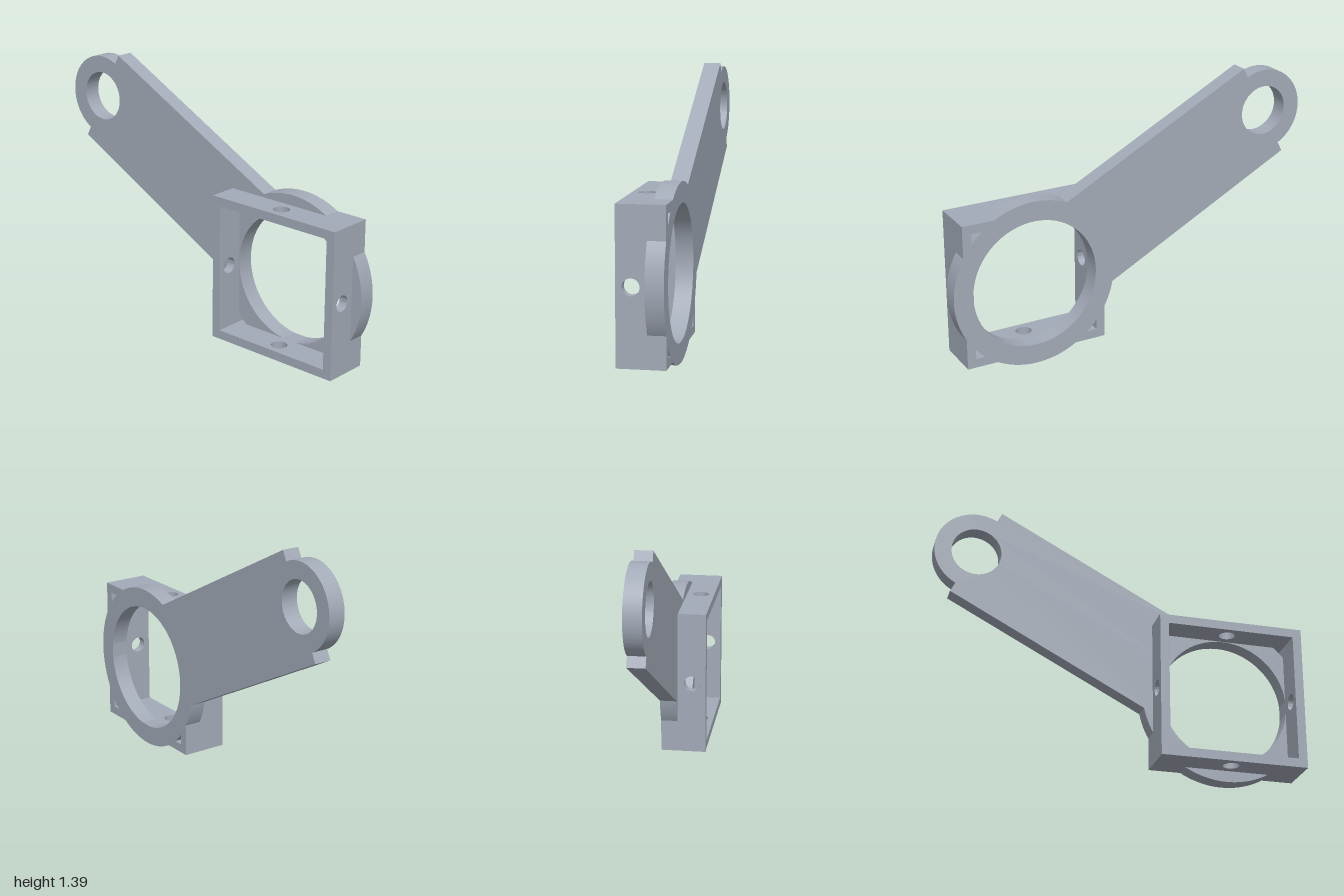
import * as THREE from 'three';
import { toCreasedNormals } from 'three/addons/utils/BufferGeometryUtils.js';

const metal = new THREE.MeshStandardMaterial({ color: 0xa3abb8 });
metal.name = 'blue grey';

const ring = { x: 0.556, y: 0.444, outer: 0.444, inner: 0.34 };
const eye = { x: -0.78, y: 1.141, outer: 0.22, inner: 0.131 };
const back = -0.12, plateDepth = 0.09, frameDepth = 0.24;
const frameHalf = 0.387, wall = 0.047;

function circleHole(x, y, r) {
  return new THREE.Path().absarc(x, y, r, 0, Math.PI * 2, false);
}

function extrude(name, shape, depth) {
  const geo = new THREE.ExtrudeGeometry(shape, { depth, bevelEnabled: false, curveSegments: 64 });
  const mesh = new THREE.Mesh(toCreasedNormals(geo, 0.5), metal);
  mesh.name = name;
  return mesh;
}

// Flat lever: eye at the origin, straight arm along +x, big ring at the far end
function makePlate() {
  const dx = ring.x - eye.x, dy = ring.y - eye.y;
  const length = Math.hypot(dx, dy), half = 0.276;
  const a = Math.PI - Math.asin(half / ring.outer);
  const shape = new THREE.Shape();
  shape.moveTo(0, half);
  shape.lineTo(length + ring.outer * Math.cos(a), half);
  shape.absarc(length, 0, ring.outer, a, -a, true);
  shape.lineTo(0, -half);
  shape.lineTo(0, -eye.outer);
  shape.absarc(0, 0, eye.outer, -Math.PI / 2, Math.PI / 2, true);
  shape.holes.push(circleHole(0, 0, eye.inner), circleHole(length, 0, ring.inner));
  const mesh = extrude('leverPlate', shape, plateDepth);
  mesh.position.set(eye.x, eye.y, back);
  mesh.rotation.z = Math.atan2(dy, dx);
  return mesh;
}

// Square frame: four walls, each with a drilled screw hole
function makeFrame() {
  const frame = new THREE.Group();
  frame.name = 'squareFrame';
  ['right', 'top', 'left', 'bottom'].forEach((side, i) => {
    const half = i % 2 ? frameHalf - wall : frameHalf;
    const d = frameDepth / 2;
    const shape = new THREE.Shape();
    shape.moveTo(-d, -half);
    shape.lineTo(d, -half);
    shape.lineTo(d, half);
    shape.lineTo(-d, half);
    shape.closePath();
    shape.holes.push(circleHole(-0.047, 0, 0.042));
    const panel = extrude(side + 'Wall', shape, wall);
    // stand the panel up facing +x, with its local -x towards the front
    panel.rotation.y = Math.PI / 2;
    panel.position.x = frameHalf - wall;
    const turn = new THREE.Group();
    turn.name = side + 'Side';
    turn.rotation.z = i * Math.PI / 2;
    turn.add(panel);
    frame.add(turn);
  });
  frame.position.set(ring.x - 0.002, ring.y + 0.002, 0);
  return frame;
}

export function createModel() {
  const model = new THREE.Group();
  model.name = 'leverBracket';
  model.add(makePlate(), makeFrame());
  return model;
}
